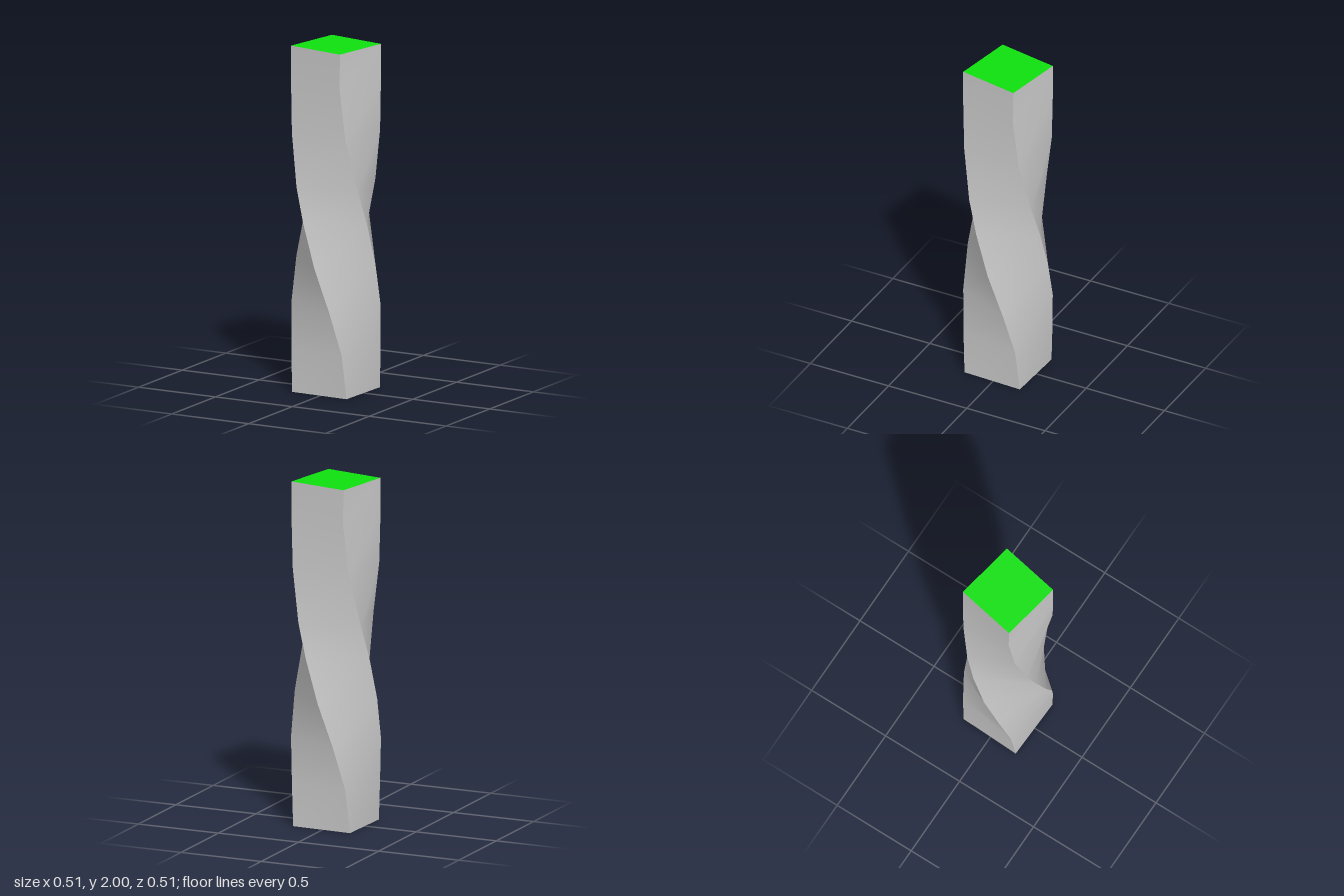
import * as THREE from 'three';

const RADIUS = 0.255;
// [height, corner angle in degrees] of each square section, top to bottom
const SECTIONS = [
  [2, 145.4], [1.8, 146], [1.5, 138.5], [1.2, 121.5], [1, 107],
  [0.75, 89], [0.5, 69], [0.25, 53], [0, 47],
];

function corner(section, quarter) {
  const [y, degrees] = SECTIONS[section];
  const a = THREE.MathUtils.degToRad(degrees + 90 * quarter);
  return new THREE.Vector3(RADIUS * Math.cos(a), y, RADIUS * Math.sin(a));
}

// One twisted side: a plane strip whose rows follow the sections
function sideGeometry(quarter) {
  const geometry = new THREE.PlaneGeometry(1, 1, 1, SECTIONS.length - 1);
  const position = geometry.attributes.position;
  for (let i = 0; i < position.count; i++) {
    const p = corner(Math.floor(i / 2), quarter + (i % 2 === 0 ? 1 : 0));
    position.setXYZ(i, p.x, p.y, p.z);
  }
  geometry.computeVertexNormals();
  return geometry;
}

export function createModel() {
  const model = new THREE.Group();
  model.name = 'twistedColumn';
  const grey = new THREE.MeshStandardMaterial({ color: 0xcccccc, side: THREE.DoubleSide });
  const green = new THREE.MeshStandardMaterial({ color: 0x10e010, side: THREE.DoubleSide });

  // Four sides, smooth along the twist and sharp at the corners; open below
  const shaft = new THREE.Group();
  shaft.name = 'shaft';
  for (let q = 0; q < 4; q++) {
    const side = new THREE.Mesh(sideGeometry(q), grey);
    side.name = `shaftSide${q + 1}`;
    shaft.add(side);
  }
  model.add(shaft);

  // Square top face
  const top = new THREE.Mesh(new THREE.CircleGeometry(RADIUS, 4), green);
  top.geometry.rotateX(-Math.PI / 2);
  top.geometry.rotateY(-THREE.MathUtils.degToRad(SECTIONS[0][1]));
  top.position.y = SECTIONS[0][0];
  top.name = 'topFace';
  model.add(top);

  return model;
}
